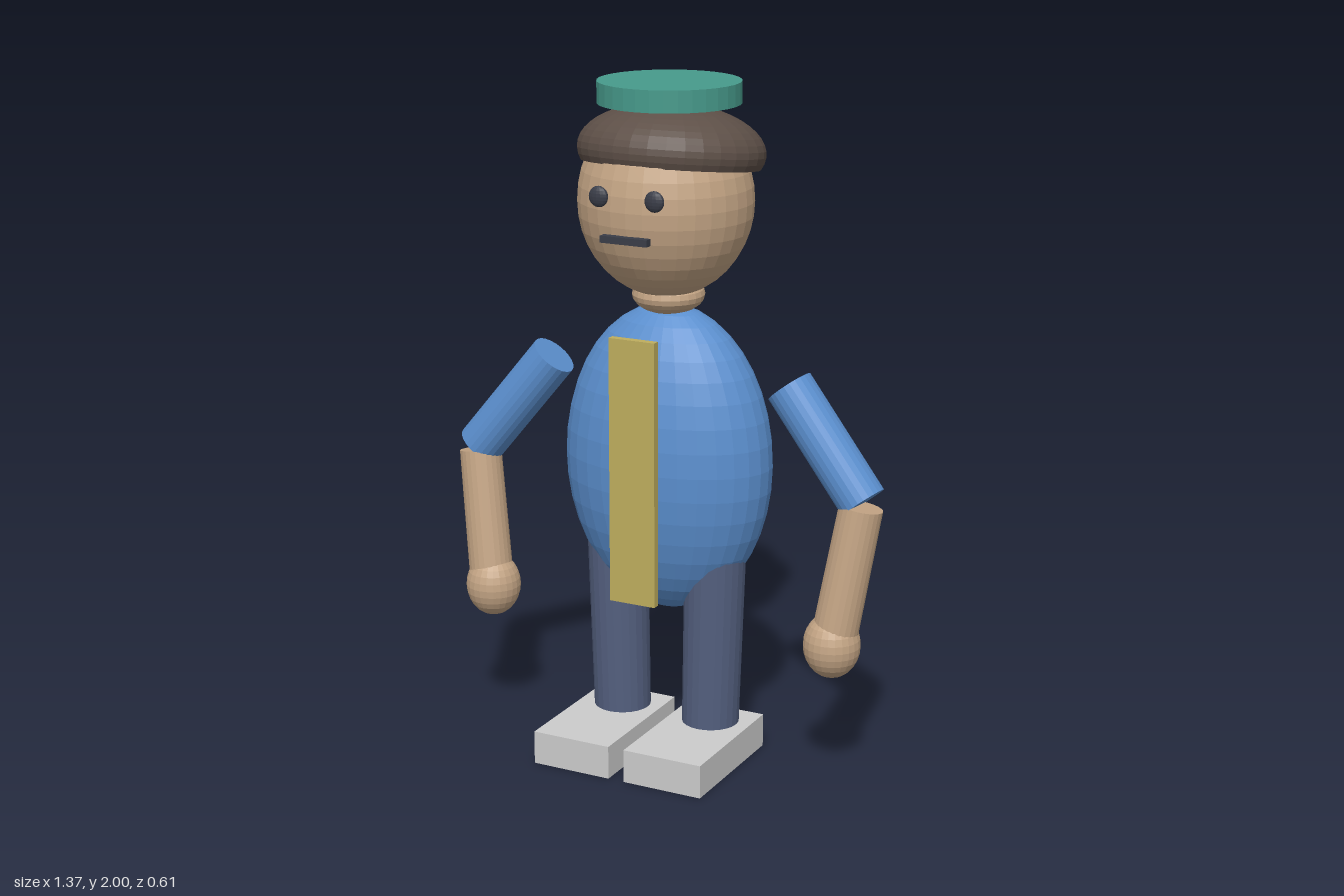
import * as THREE from 'three';

const mat = (color, side = THREE.FrontSide) =>
  new THREE.MeshStandardMaterial({ color, flatShading: true, side });

const SKIN = mat(0xc4a585), SHIRT = mat(0x5b8fce), TROUSERS = mat(0x535f7e);
const HAIR = mat(0x5e5048, THREE.DoubleSide), HAT = mat(0x479a8b);
const TIE = mat(0xbfae5e), DARK = mat(0x3a3d48), SHOE = mat(0xcccccc);

export function createModel() {
  const model = new THREE.Group();
  model.name = 'figure';

  const add = (name, geometry, material, pos) => {
    const mesh = new THREE.Mesh(geometry, material);
    mesh.name = name;
    mesh.position.set(...pos);
    model.add(mesh);
    return mesh;
  };
  const ellipsoid = (name, material, pos, radii, w = 32, h = 20) =>
    add(name, new THREE.SphereGeometry(1, w, h).scale(...radii), material, pos);
  const box = (name, material, pos, size) =>
    add(name, new THREE.BoxGeometry(...size), material, pos);

  // Cylinder running from point a (top) to point b (bottom)
  const limb = (name, material, a, b, rTop, rBottom) => {
    const top = new THREE.Vector3(...a), bottom = new THREE.Vector3(...b);
    const axis = top.clone().sub(bottom);
    const geometry = new THREE.CylinderGeometry(rTop, rBottom, axis.length(), 24);
    const mesh = add(name, geometry, material, top.add(bottom).multiplyScalar(0.5).toArray());
    mesh.quaternion.setFromUnitVectors(new THREE.Vector3(0, 1, 0), axis.normalize());
  };

  // Body and tie
  ellipsoid('torso', SHIRT, [0, 0.897, -0.03], [0.323, 0.461, 0.207]);
  box('tie', TIE, [0, 0.905, 0.191], [0.145, 0.786, 0.023]);
  ellipsoid('neck', SKIN, [0, 1.387, -0.028], [0.106, 0.057, 0.106], 24, 12);

  // Head and face
  ellipsoid('head', SKIN, [0, 1.665, -0.011], [0.255, 0.28, 0.246]);
  box('mouth', DARK, [0, 1.59, 0.236], [0.146, 0.02, 0.024]);

  // Hair: an open cap, tipped down at the back
  const cap = new THREE.SphereGeometry(1, 32, 14, 0, Math.PI * 2, 0, Math.PI * 0.6);
  add('hair', cap.scale(0.272, 0.135, 0.26), HAIR, [0, 1.8, -0.045]).rotation.x = -0.13;

  // Flat round hat
  add('hat', new THREE.CylinderGeometry(0.206, 0.206, 0.063, 32), HAT, [0, 1.9685, -0.032]);

  // Mirrored parts
  for (const [side, s] of [['left', 1], ['right', -1]]) {
    ellipsoid(`${side}Eye`, DARK, [s * 0.087, 1.705, 0.228], [0.03, 0.03, 0.014], 16, 10);
    limb(`${side}UpperArm`, SHIRT, [s * 0.383, 1.157, -0.031], [s * 0.627, 0.855, -0.004], 0.07, 0.07);
    limb(`${side}Forearm`, SKIN, [s * 0.625, 0.843, 0.003], [s * 0.572, 0.48, 0.043], 0.063, 0.066);
    ellipsoid(`${side}Hand`, SKIN, [s * 0.562, 0.433, 0.046], [0.083, 0.097, 0.083], 24, 14);
    limb(`${side}Leg`, TROUSERS, [s * 0.162, 0.66, -0.014], [s * 0.148, 0.09, -0.014], 0.091, 0.085);
    box(`${side}Foot`, SHOE, [s * 0.149, 0.05, 0.094], [0.248, 0.1, 0.426]);
  }
  return model;
}
